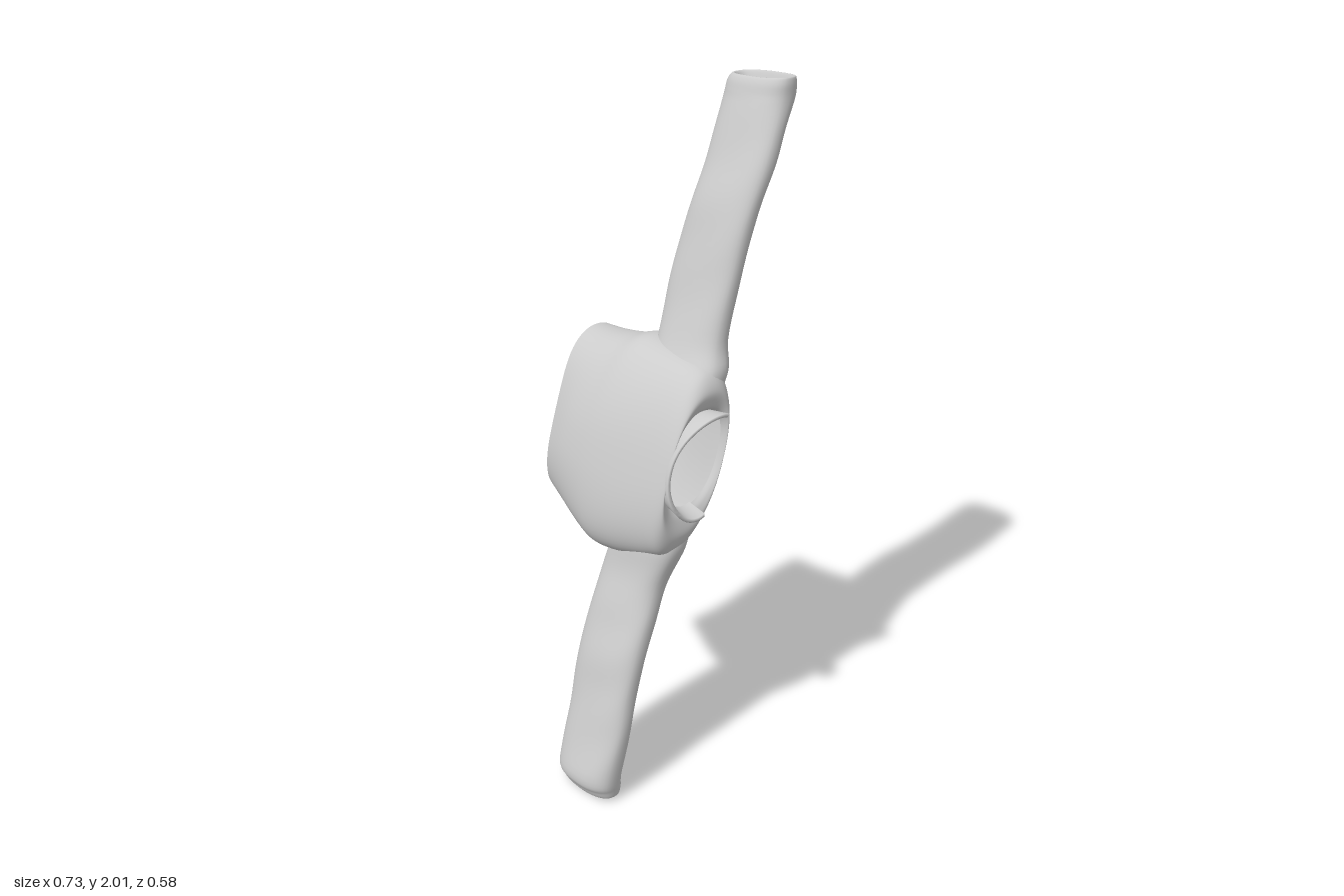
import * as THREE from 'three';

const material = new THREE.MeshStandardMaterial({ color: 0xcccccc, side: THREE.DoubleSide });

// Smooth interpolation through a table of stations, t from 0 to 1
function sample(rows, t) {
  const f = t * (rows.length - 1);
  const i = Math.min(Math.floor(f), rows.length - 2);
  const u = f - i;
  const at = k => rows[Math.max(0, Math.min(rows.length - 1, k))];
  return rows[0].map((_, c) => {
    const [p0, p1, p2, p3] = [at(i - 1)[c], at(i)[c], at(i + 1)[c], at(i + 2)[c]];
    return p1 + 0.5 * u * (p2 - p0 + u * (2 * p0 - 5 * p1 + 4 * p2 - p3 + u * (3 * (p1 - p2) + p3 - p0)));
  });
}

// Skin a grid of points; the first index runs along, the second around
function skin(name, rows, cols, closed, point) {
  const pos = [], index = [];
  const n = closed ? cols : cols + 1;
  for (let i = 0; i <= rows; i++)
    for (let j = 0; j < n; j++) pos.push(...point(i / rows, j / cols));
  for (let i = 0; i < rows; i++)
    for (let j = 0; j < cols; j++) {
      const k = (j + 1) % n;
      const a = i * n + j, b = i * n + k, c = a + n, d = b + n;
      index.push(a, b, d, a, d, c);
    }
  const g = new THREE.BufferGeometry();
  g.setAttribute('position', new THREE.Float32BufferAttribute(pos, 3));
  g.setIndex(index);
  g.computeVertexNormals();
  const mesh = new THREE.Mesh(g, material);
  mesh.name = name;
  return mesh;
}

const power = (v, e) => Math.sign(v) * Math.pow(Math.abs(v), e);
const LEAN = 0.27; // sideways lean of the body with height

// Point on the leaning oval of the body: half height a, half width b
function bodyOval(angle, cy, a, b, z, e) {
  const dy = a * power(Math.sin(angle), e);
  return [-0.045 + LEAN * (cy + dy - 1.02) + b * power(Math.cos(angle), e), cy + dy, z];
}

// Body stations from hem to neck: z, centre y, half height, half width
const bodyRows = [
  [-0.27, 1.03, 0.24, 0.118], [-0.19, 1.02, 0.255, 0.135], [-0.1, 1.01, 0.28, 0.145],
  [-0.03, 1.01, 0.3, 0.147], [0.05, 1.01, 0.293, 0.138], [0.12, 1.015, 0.28, 0.125],
  [0.18, 1.02, 0.265, 0.113], [0.22, 1.02, 0.245, 0.106], [0.242, 1.025, 0.2, 0.1],
  [0.236, 1.03, 0.155, 0.095], [0.222, 1.035, 0.135, 0.091],
];

// Sleeve stations from shoulder to folded cuff: y, x, half width, half depth, centre z
const upperSleeve = [
  [1.19, 0.02, 0.075, 0.115, 0.11], [1.26, 0.052, 0.072, 0.122, 0.105], [1.34, 0.08, 0.058, 0.117, 0.085],
  [1.5, 0.127, 0.051, 0.12, 0.08], [1.66, 0.174, 0.051, 0.115, 0.09], [1.78, 0.225, 0.052, 0.116, 0.095],
  [1.87, 0.262, 0.053, 0.115, 0.09], [1.945, 0.298, 0.062, 0.113, 0.083], [1.985, 0.305, 0.056, 0.11, 0.085],
  [2.0, 0.308, 0.046, 0.1, 0.09], [1.975, 0.306, 0.036, 0.088, 0.09], [1.94, 0.295, 0.034, 0.085, 0.09],
];
const lowerSleeve = [
  [0.83, -0.075, 0.075, 0.11, 0.115], [0.77, -0.095, 0.072, 0.12, 0.11], [0.66, -0.13, 0.06, 0.117, 0.085],
  [0.55, -0.17, 0.057, 0.12, 0.082], [0.44, -0.208, 0.056, 0.122, 0.08], [0.33, -0.238, 0.054, 0.121, 0.08],
  [0.22, -0.265, 0.055, 0.12, 0.085], [0.07, -0.303, 0.064, 0.115, 0.085], [0.025, -0.3, 0.058, 0.11, 0.085],
  [0.005, -0.298, 0.046, 0.1, 0.09], [0.025, -0.298, 0.036, 0.088, 0.09], [0.06, -0.295, 0.034, 0.085, 0.09],
];

function sleeve(name, rows) {
  return skin(name, 66, 40, true, (t, s) => {
    const [y, x, hx, hz, z] = sample(rows, t);
    const a = s * Math.PI * 2;
    // gentle cloth folds, fading out at the cuff
    const fold = 1 + 0.025 * Math.sin(y * 34 + 2 * a) * (t < 0.65 ? 1 : 0.3);
    return [x + hx * fold * power(Math.cos(a), 0.85), y + 0.008 * Math.sin(a) * t, z + hz * power(Math.sin(a), 0.85)];
  });
}

export function createModel() {
  const model = new THREE.Group();
  model.name = 'garment';

  // Open body tube with a wavy hem and a neck hole
  model.add(skin('body', 60, 72, true, (t, s) => {
    const [z, cy, a, b] = sample(bodyRows, t);
    const angle = s * Math.PI * 2;
    const hem = Math.max(0, 1 - t * 4);
    const wave = hem * (0.016 * Math.cos(angle) + 0.006 * Math.cos(3 * angle));
    const fold = 1 + 0.015 * Math.sin(5 * angle + z * 12) * (t < 0.7 ? 1 - t / 0.7 : 0);
    return bodyOval(angle, cy, a, b * fold, z - wave, 0.88);
  }));

  model.add(sleeve('upperSleeve', upperSleeve));
  model.add(sleeve('lowerSleeve', lowerSleeve));

  // Standing collar, open on one side, with raised tips; outer face, rim, inner face
  const collarRows = [[0, 0.004], [1, 0.014], [1, 0.004], [0, -0.006]];
  model.add(skin('collar', 3, 32, false, (t, s) => {
    const [h, r] = collarRows[Math.round(t * 3)];
    const angle = THREE.MathUtils.degToRad(72 + 212 * s);
    const rise = Math.pow(Math.sin(angle), 2);
    const z = 0.205 + 0.02 * rise + h * (0.045 + 0.02 * rise);
    return bodyOval(angle, 1.035, 0.132 + r, 0.092 + r, z, 0.95);
  }));

  return model;
}
